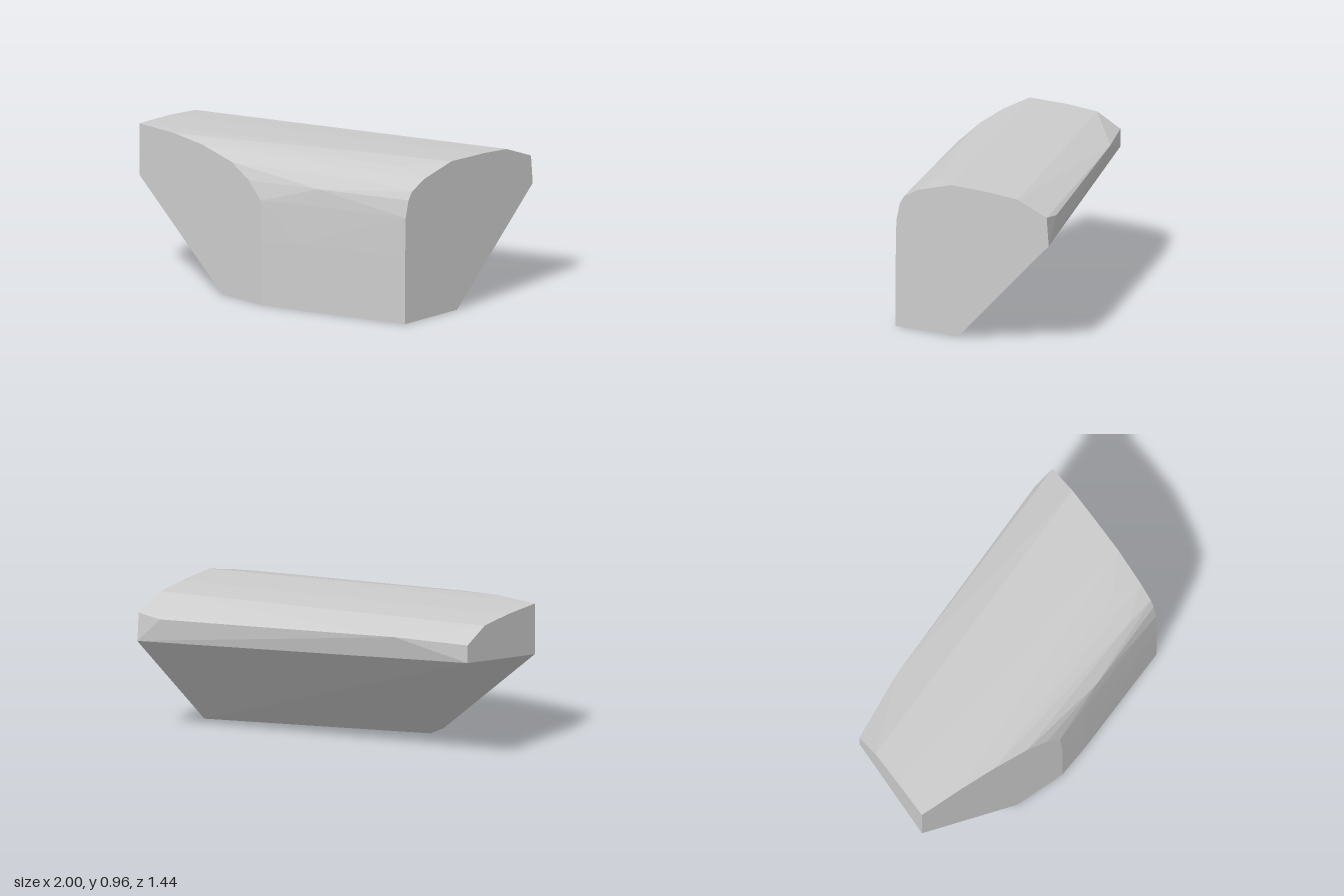
import * as THREE from 'three';
import { ConvexGeometry } from 'three/addons/geometries/ConvexGeometry.js';

const v = (x, y, z) => new THREE.Vector3(x, y, z);

export function createModel() {
  const stone = new THREE.MeshStandardMaterial({ color: 0xcccccc });
  stone.name = 'stone grey';

  // Flat cut at +x, as [z, y] corners
  const tallEnd = [
    [0.41, 0], [0.41, 0.43], [0.405, 0.68], [0.38, 0.79], [0.35, 0.84], [0.24, 0.9],
    [0, 0.965], [-0.28, 0.96], [-0.49, 0.945], [-0.705, 0.86], [-0.72, 0.68], [-0.05, 0],
  ].map(([z, y]) => v(1, y, z));

  // Flat cut at -x, as [z, y] corners
  const shortEnd = [
    [0.72, 0.63], [0.05, 0.745], [0.05, 0.86], [0.22, 0.945], [0.45, 0.96], [0.72, 0.96],
  ].map(([z, y]) => v(-1, y, z));

  // Flat front cut, as [x, y] corners
  const frontFace = [
    [-0.28, 0], [0.065, 0], [0.065, 0.4], [0.05, 0.67], [-0.05, 0.78],
    [-0.2, 0.87], [-0.45, 0.93], [-0.7, 0.957],
  ].map(([x, y]) => v(x, y, 0.72));

  // Slightly bowed slanting wall and its rounded shoulder
  const wall = [
    v(0.3, 0, 0.65), v(0.29, 0.43, 0.65), v(0.28, 0.68, 0.646),
    v(0.42, 0.79, 0.59), v(0.8, 0.86, 0.4), v(0.8, 0.935, 0.22),
  ];

  // Back edge and the inner corner of the base
  const back = [v(-0.58, 0.88, -0.15), v(0.85, 0.84, -0.68), v(-0.28, 0, 0.59)];

  const rock = new THREE.Mesh(
    new ConvexGeometry([...tallEnd, ...shortEnd, ...frontFace, ...wall, ...back]), stone);
  rock.name = 'cutStoneBlock';

  const group = new THREE.Group();
  group.name = 'stoneBlock';
  group.add(rock);
  return group;
}
